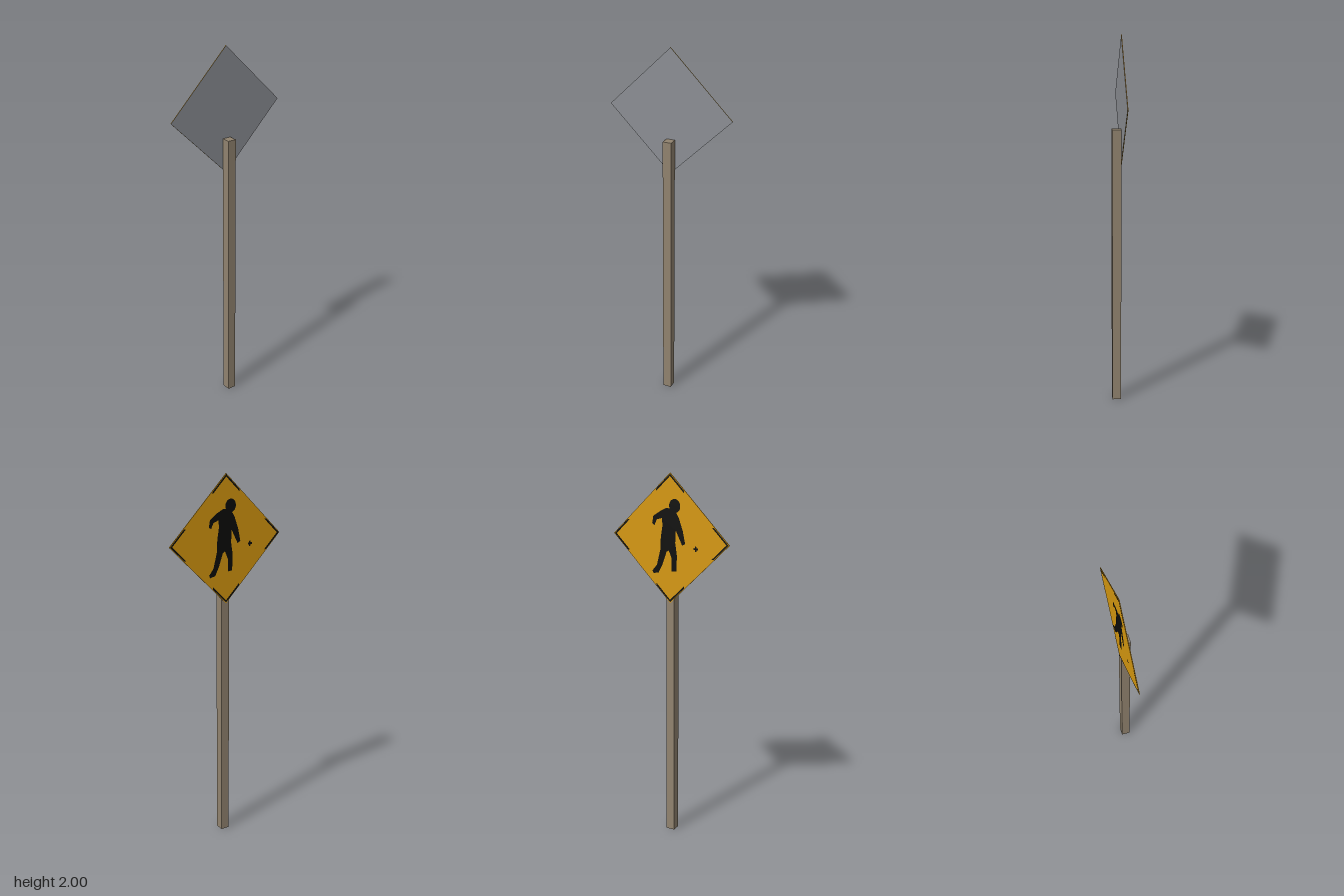
import * as THREE from 'three';

export function createModel() {
  const model = new THREE.Group();
  const wood = new THREE.MeshStandardMaterial({ color: 0x91836f });
  const metal = new THREE.MeshStandardMaterial({ color: 0x8c8f94 });
  const amber = new THREE.MeshStandardMaterial({ color: 0xd6980f });
  const black = new THREE.MeshStandardMaterial({ color: 0x0c0c0a });
  wood.name = 'weatheredWood';
  metal.name = 'bareMetal';
  amber.name = 'amberPaint';
  black.name = 'blackPaint';

  const add = (parent, name, geometry, material) => {
    const mesh = new THREE.Mesh(geometry, material);
    mesh.name = name;
    parent.add(mesh);
    return mesh;
  };

  // Square post
  add(model, 'post', new THREE.BoxGeometry(0.047, 1.515, 0.048), wood).position.set(0.002, 0.7575, 0.002);

  // Diamond sign, painted side turned to -z
  const R = 0.338; // half diagonal
  const sign = new THREE.Group();
  sign.name = 'sign';
  sign.position.set(0, 2 - R, -0.0242);
  sign.rotation.y = Math.PI;
  model.add(sign);

  const side = R * Math.SQRT2;
  const plate = add(sign, 'signPlate', new THREE.BoxGeometry(side, side, 0.0036),
    [amber, amber, amber, amber, amber, metal]);
  plate.rotation.z = Math.PI / 4;

  // Painted details lie just off the plate, in units of the half diagonal
  const paint = (name, shape) => {
    const mesh = add(sign, name, new THREE.ShapeGeometry(shape, 16), black);
    mesh.scale.set(R, R, 1);
    mesh.position.z = 0.0026;
    return mesh;
  };
  const outline = (points) => new THREE.Shape(points.map(([x, y]) => new THREE.Vector2(x, y)));

  // Walking figure
  const head = new THREE.Shape();
  head.absellipse(0.08, 0.51, 0.095, 0.105, 0, Math.PI * 2);
  paint('figureHead', head);
  paint('figureBody', outline([
    [0.04, 0.46], [-0.06, 0.47], [-0.16, 0.42], [-0.29, 0.33], [-0.31, 0.22], [-0.27, 0.19],
    [-0.23, 0.28], [-0.14, 0.31], [-0.13, 0.2], [-0.16, 0.02], [-0.17, -0.18], [-0.23, -0.42],
    [-0.31, -0.52], [-0.29, -0.56], [-0.2, -0.54], [-0.13, -0.4], [-0.06, -0.2], [-0.02, -0.18],
    [0.03, -0.3], [0.03, -0.5], [0.11, -0.49], [0.12, -0.25], [0.09, -0.05], [0.1, 0.14],
    [0.16, 0.02], [0.21, -0.08], [0.26, -0.05], [0.22, 0.14], [0.15, 0.34], [0.1, 0.42],
  ]));

  // Small bolt mark
  const s = 0.04, t = 0.014;
  paint('boltMark', outline([
    [-s, -t], [-t, -t], [-t, -s], [t, -s], [t, -t], [s, -t],
    [s, t], [t, t], [t, s], [-t, s], [-t, t], [-s, t],
  ].map(([x, y]) => [x + 0.44, y - 0.11])));

  // Broken border: a narrow chevron in each corner
  const len = 0.24, w = 0.035;
  for (let i = 0; i < 4; i++) {
    const chevron = paint('cornerBorder', outline([
      [0, 0.985], [-len, 0.985 - len], [-len, 0.985 - len - w], [0, 0.985 - w],
      [len, 0.985 - len - w], [len, 0.985 - len],
    ]));
    chevron.rotation.z = i * Math.PI / 2;
  }
  return model;
}
